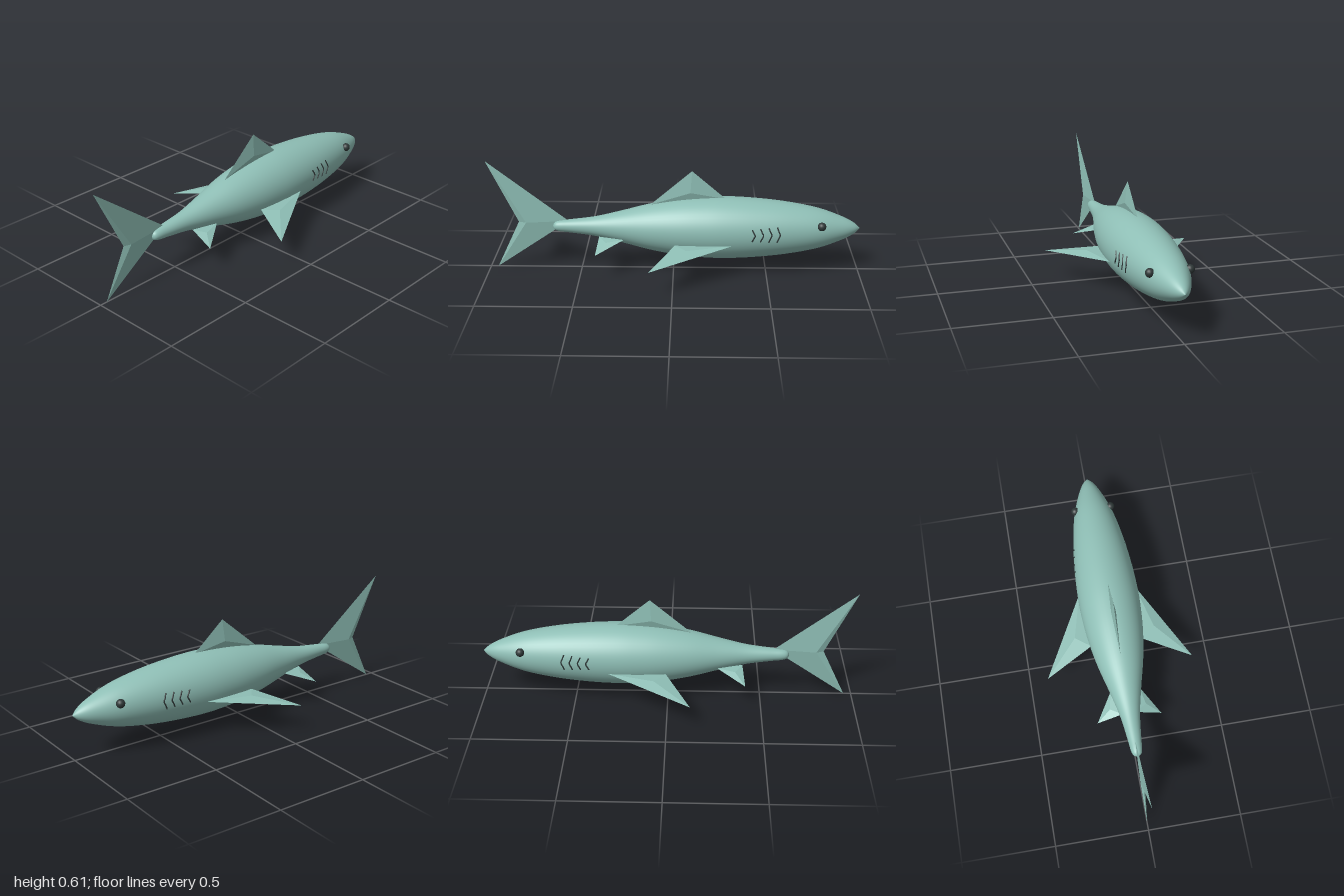
import * as THREE from 'three';

const AXIS_Y = 0.24; // height of the body axis

// body radius along its length, tail stump to nose: [radius, x]
const PROFILE = [
  [0, -0.652], [0.02, -0.642], [0.03, -0.615], [0.037, -0.55], [0.054, -0.42], [0.086, -0.28],
  [0.126, -0.12], [0.152, 0.03], [0.164, 0.16], [0.167, 0.28], [0.16, 0.43],
  [0.142, 0.6], [0.11, 0.77], [0.065, 0.9], [0.03, 0.968], [0, 1],
];

function radiusAt(x) {
  for (let i = 1; i < PROFILE.length; i++) {
    const [r0, x0] = PROFILE[i - 1], [r1, x1] = PROFILE[i];
    if (x <= x1) return r0 + (r1 - r0) * (x - x0) / (x1 - x0);
  }
  return 0;
}

// Thin fin: an outline fanned to a raised centre on both faces
function finGeometry(outline, centre, bulge) {
  const pts = outline.map((p) => new THREE.Vector3(...p));
  const mid = new THREE.Vector3(...centre);
  const out = new THREE.Vector3(...bulge);
  const positions = [];
  for (const sign of [1, -1]) {
    const dir = out.clone().multiplyScalar(sign);
    const top = mid.clone().add(dir);
    pts.forEach((a, i) => {
      const b = pts[(i + 1) % pts.length];
      const n = b.clone().sub(a).cross(top.clone().sub(a));
      const tri = n.dot(dir) > 0 ? [a, b, top] : [b, a, top];
      tri.forEach((v) => positions.push(v.x, v.y, v.z));
    });
  }
  const g = new THREE.BufferGeometry();
  g.setAttribute('position', new THREE.Float32BufferAttribute(positions, 3));
  g.computeVertexNormals();
  return g;
}

export function createModel() {
  const group = new THREE.Group();
  const skin = new THREE.MeshStandardMaterial({ color: 0x8fbfb6 });
  skin.name = 'sea green skin';
  const dark = new THREE.MeshStandardMaterial({ color: 0x2f3838 });
  dark.name = 'dark grey';

  const add = (name, geometry, material) => {
    const mesh = new THREE.Mesh(geometry, material);
    mesh.name = name;
    group.add(mesh);
    return mesh;
  };

  // Body: smooth spindle lying along x
  const spline = new THREE.SplineCurve(PROFILE.map(([r, x]) => new THREE.Vector2(r, x)));
  const points = spline.getPoints(75);
  points.forEach((p) => { p.x = Math.max(0, p.x); });
  const body = new THREE.LatheGeometry(points, 48);
  body.rotateZ(-Math.PI / 2);
  body.translate(0, AXIS_Y, 0);
  add('body', body, skin);

  // Upright fins
  add('dorsalFin', finGeometry(
    [[-0.125, 0.365, 0], [0.28, 0.4, 0], [0.098, 0.556, 0]],
    [0.09, 0.437, 0], [0, 0, 0.013]), skin);
  add('tailFin', finGeometry(
    [[-0.565, 0.268, 0], [-1, 0.605, 0], [-0.835, 0.262, 0], [-0.96, 0, 0]],
    [-0.795, 0.26, 0], [0, 0, 0.012]), skin);

  // Paired parts on both flanks
  for (const [side, s] of [['right', 1], ['left', -1]]) {
    add(side + 'PectoralFin', finGeometry(
      [[0.32, 0.196, s * 0.155], [0.01, 0.188, s * 0.138], [-0.122, 0.147, s * 0.4]],
      [0.07, 0.178, s * 0.22], [0, 0.013, 0]), skin);
    add(side + 'PelvicFin', finGeometry(
      [[-0.265, 0.192, s * 0.078], [-0.4, 0.192, s * 0.035], [-0.413, 0.139, s * 0.174]],
      [-0.36, 0.175, s * 0.098], [0, 0.007, 0]), skin);

    const eye = add(side + 'Eye', new THREE.SphereGeometry(0.023, 16, 12), dark);
    eye.position.set(0.785, 0.285, s * 0.1);

    // Gill slits: bent strokes hugging the skin
    for (let i = 0; i < 4; i++) {
      const x = 0.415 + i * 0.044;
      const half = 0.033 + i * 0.003;
      const stroke = [];
      for (let k = -2; k <= 2; k++) {
        const px = x + 0.016 * (1 - Math.abs(k) / 2);
        const dy = 0.014 + half * k / 2;
        const r = radiusAt(px) + 0.001;
        stroke.push(new THREE.Vector3(px, AXIS_Y + dy, s * Math.sqrt(r * r - dy * dy)));
      }
      add(side + 'GillSlit' + (i + 1),
        new THREE.TubeGeometry(new THREE.CatmullRomCurve3(stroke), 12, 0.004, 6), dark);
    }
  }
  return group;
}
